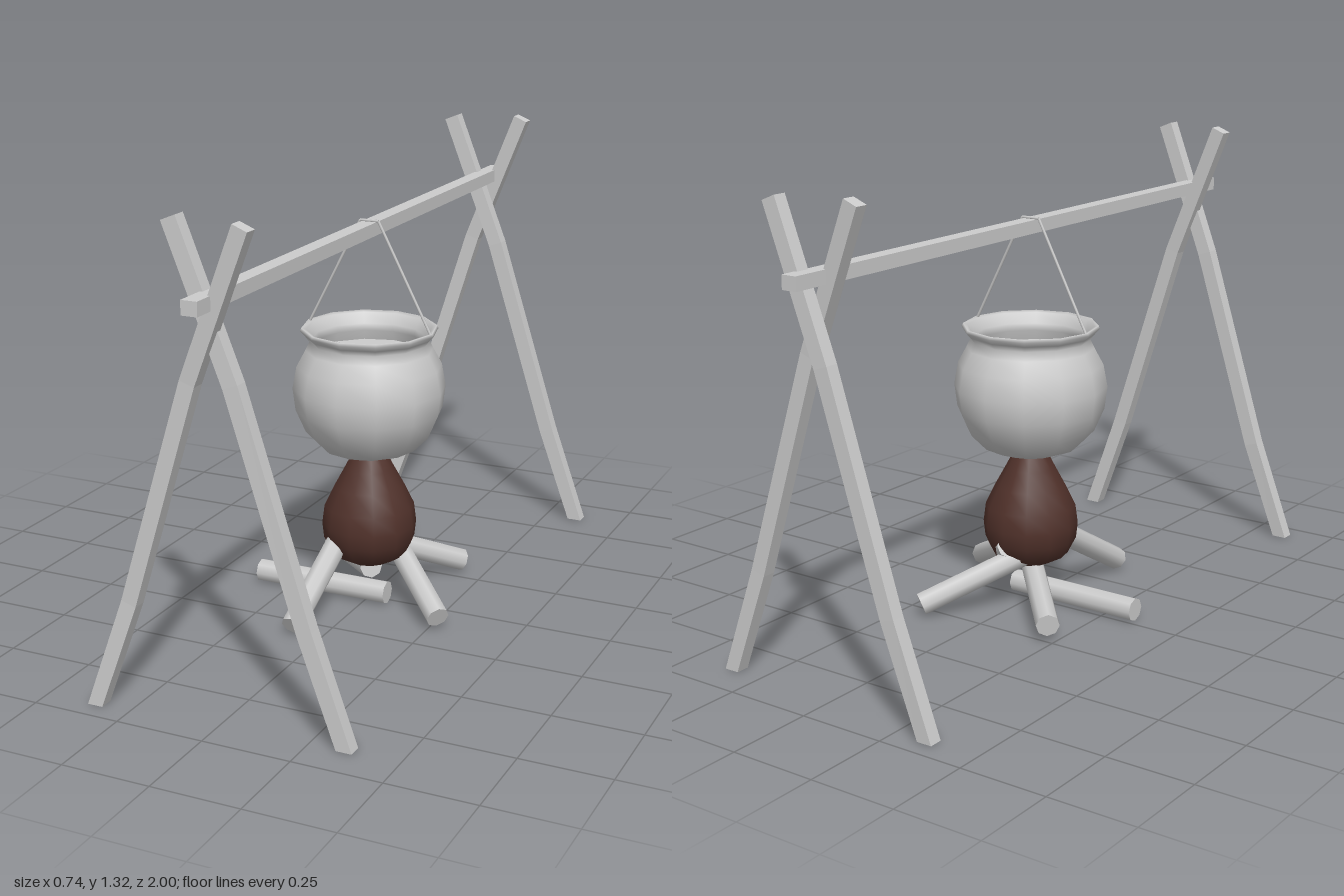
import * as THREE from 'three';

const grey = () => new THREE.MeshStandardMaterial({ color: 0xcccccc });
const V = (x, y, z) => new THREE.Vector3(x, y, z);

function add(group, name, geometry, material = grey()) {
  const mesh = new THREE.Mesh(geometry, material);
  mesh.name = name;
  group.add(mesh);
  return mesh;
}

// Square bar swept through bent centre points, with a level foot
function poleGeometry(points, w, d) {
  const rings = points.map((p, i) => {
    const a = points[Math.max(i - 1, 0)], b = points[Math.min(i + 1, points.length - 1)];
    const t = V(b.x - a.x, b.y - a.y, 0).normalize();
    const s = i === 0 ? V(w / 2, 0, 0) : V(t.y, -t.x, 0).multiplyScalar(w / 2);
    return [[-1, 1], [1, 1], [1, -1], [-1, -1]].map(([u, v]) =>
      V(p.x + u * s.x, p.y + u * s.y, p.z + v * d / 2));
  });
  const pos = [];
  const quad = (a, b, c, e) => [a, b, c, a, c, e].forEach(p => pos.push(p.x, p.y, p.z));
  for (let i = 0; i < rings.length - 1; i++) {
    for (let k = 0; k < 4; k++) {
      const n = (k + 1) % 4;
      quad(rings[i][k], rings[i][n], rings[i + 1][n], rings[i + 1][k]);
    }
  }
  const [f, l] = [rings[0], rings[rings.length - 1]];
  quad(f[3], f[2], f[1], f[0]);
  quad(l[0], l[1], l[2], l[3]);
  const g = new THREE.BufferGeometry();
  g.setAttribute('position', new THREE.Float32BufferAttribute(pos, 3));
  g.computeVertexNormals();
  return g;
}

// Cylinder between two points
function rod(a, b, radius, sides) {
  const dir = b.clone().sub(a);
  const g = new THREE.CylinderGeometry(radius, radius, dir.length(), sides);
  g.applyQuaternion(new THREE.Quaternion().setFromUnitVectors(V(0, 1, 0), dir.normalize()));
  const m = a.clone().add(b).multiplyScalar(0.5);
  return g.translate(m.x, m.y, m.z);
}

const profile = list => list.map(([r, y]) => new THREE.Vector2(r, y));

export function createModel() {
  const model = new THREE.Group();
  model.name = 'campfireWithPot';

  // Crossed supports: lean (+1 has its foot at +x) and depth at each bend
  const supports = [
    ['frontLeftPole', 1, [0.886, 0.89, 0.893, 0.886]],
    ['frontRightPole', -1, [0.928, 0.912, 0.91, 0.925]],
    ['backLeftPole', 1, [-0.88, -0.873, -0.866, -0.877]],
    ['backRightPole', -1, [-0.93, -0.937, -0.94, -0.928]],
  ];
  const bends = [[0.35, 0], [0.245, 0.3], [0.055, 0.91], [-0.108, 1.31]];
  for (const [name, side, depth] of supports) {
    const points = bends.map(([x, y], i) => V(side * x, y, depth[i]));
    add(model, name, poleGeometry(points, 0.044, 0.039));
  }

  // Crossbar
  add(model, 'crossbar', new THREE.BoxGeometry(0.045, 0.038, 2).translate(0, 1.12, 0));

  // Cord looped over the crossbar down to the rim
  const cord = new THREE.Group();
  cord.name = 'cord';
  const loop = [V(-0.19, 0.83, 0), V(-0.028, 1.142, 0), V(0.028, 1.142, 0), V(0.19, 0.83, 0)];
  for (let i = 0; i < 3; i++) add(cord, 'cordSegment', rod(loop[i], loop[i + 1], 0.004, 6));
  model.add(cord);

  // Pot with a flared rim
  const pot = new THREE.LatheGeometry(profile([
    [0, 0.449], [0.08, 0.455], [0.14, 0.477], [0.185, 0.523], [0.214, 0.59], [0.222, 0.655],
    [0.21, 0.72], [0.184, 0.768], [0.172, 0.793], [0.185, 0.81], [0.199, 0.825], [0.195, 0.834],
    [0.182, 0.83], [0.164, 0.8], [0.16, 0.78], [0.178, 0.74], [0.18, 0.72],
  ]), 12);
  add(model, 'pot', pot).material.side = THREE.DoubleSide;
  add(model, 'potContents', new THREE.CircleGeometry(0.185, 12).rotateX(-Math.PI / 2).translate(0, 0.75, 0));

  // Teardrop flame
  const flame = new THREE.LatheGeometry(profile([
    [0, 0.115], [0.06, 0.121], [0.11, 0.148], [0.134, 0.195], [0.139, 0.24], [0.132, 0.295],
    [0.103, 0.355], [0.073, 0.41], [0.045, 0.463], [0.02, 0.495], [0, 0.5],
  ]), 12);
  add(model, 'flame', flame, new THREE.MeshStandardMaterial({ color: 0x50312a }));

  // Logs leaning in towards the flame, outer end first
  const logs = [
    [V(-0.35, 0.034, 0.025), V(0.07, 0.034, 0.025)],
    [V(-0.075, 0.034, 0.355), V(-0.065, 0.192, 0.08)],
    [V(0.28, 0.04, 0.14), V(0, 0.195, -0.11)],
    [V(0.175, 0.036, -0.3), V(-0.03, 0.165, -0.06)],
    [V(-0.235, 0.05, -0.25), V(0.02, 0.11, 0.03)],
  ];
  for (const [a, b] of logs) add(model, 'log', rod(a, b, 0.034, 8));

  return model;
}
